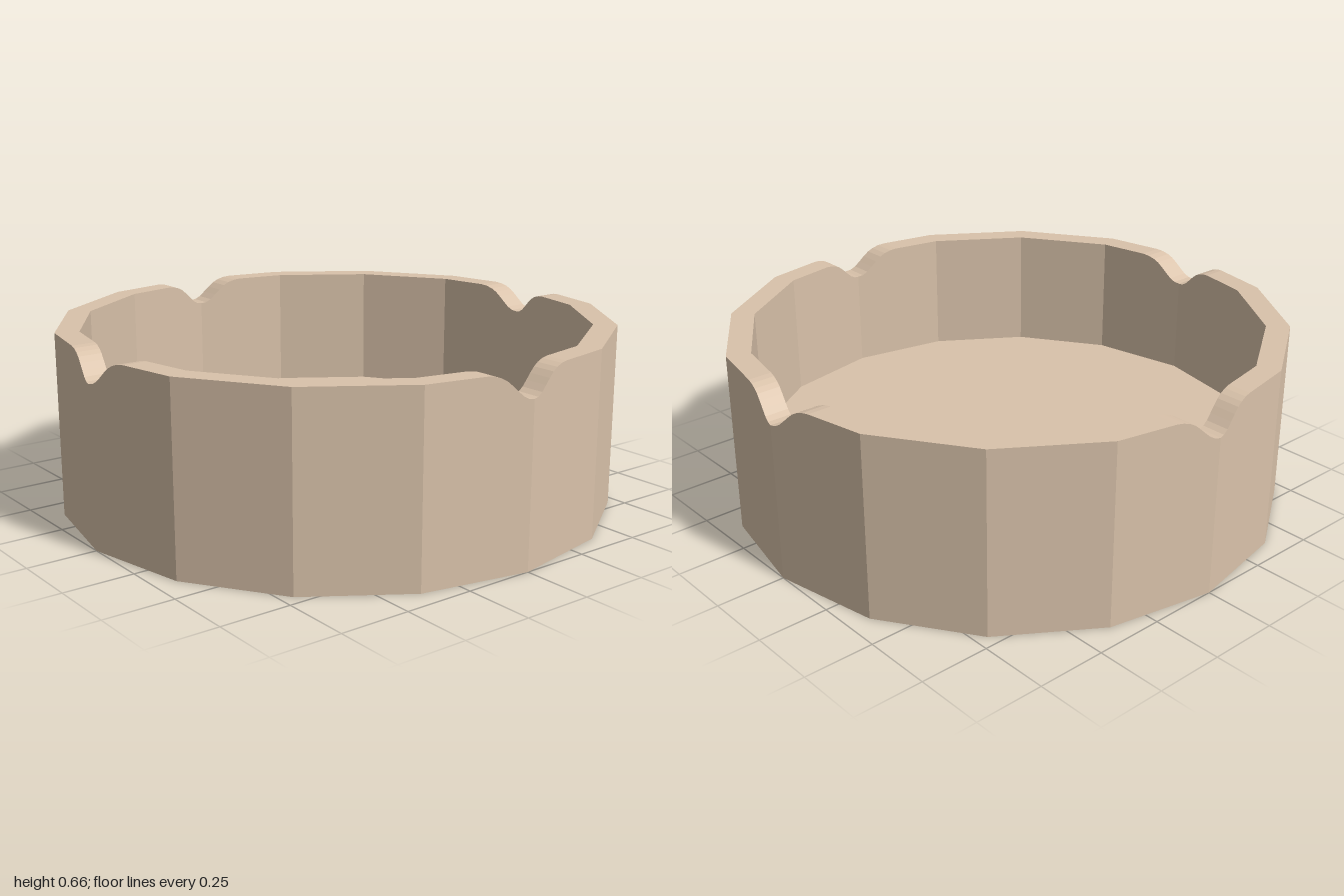
import * as THREE from 'three';

const HEIGHT = 0.66, INNER = 0.915, FLOOR = 0.21, HOLLOW = 0.02;

// Half outline of a rim notch: [sideways distance, rim height]
const NOTCH = [
  [0, 0.57], [0.02, 0.573], [0.04, 0.584], [0.06, 0.602], [0.08, 0.621],
  [0.1, 0.638], [0.12, 0.649], [0.145, 0.657], [0.17, HEIGHT],
];

// Stations round the 16-sided ring: outer x/z, inner x/z and rim height
function makeStations() {
  const slope = Math.tan(Math.PI / 16);
  const quarter = [];
  const notchPoint = (t, y) => {
    const drop = Math.abs(t) * slope;
    quarter.push({ o: [t, 1 - drop], i: [t, INNER - drop], y });
  };
  for (let k = NOTCH.length - 1; k > 0; k--) notchPoint(-NOTCH[k][0], NOTCH[k][1]);
  for (const [t, y] of NOTCH) notchPoint(t, y);
  for (let k = 1; k < 4; k++) {
    const s = Math.sin(k * Math.PI / 8), c = Math.cos(k * Math.PI / 8);
    quarter.push({ o: [s, c], i: [s * INNER, c * INNER], y: HEIGHT });
  }
  const stations = [];
  for (let q = 0; q < 4; q++) {
    const s = Math.sin(q * Math.PI / 2), c = Math.cos(q * Math.PI / 2);
    const turn = ([x, z]) => [x * c + z * s, z * c - x * s];
    for (const p of quarter) stations.push({ o: turn(p.o), i: turn(p.i), y: p.y });
  }
  return stations;
}

// Joins the cross-section of every station to the next one
function sweep(stations, section) {
  const rows = stations.map(section);
  const pos = [];
  const tri = (a, b, c) => {
    const same = (p, q) => p.every((v, n) => v === q[n]);
    if (!same(a, b) && !same(b, c) && !same(a, c)) pos.push(...a, ...b, ...c);
  };
  rows.forEach((row, n) => {
    const next = rows[(n + 1) % rows.length];
    for (let k = 0; k < row.length - 1; k++) {
      tri(row[k], next[k], next[k + 1]);
      tri(row[k], next[k + 1], row[k + 1]);
    }
  });
  const geometry = new THREE.BufferGeometry();
  geometry.setAttribute('position', new THREE.Float32BufferAttribute(pos, 3));
  geometry.computeVertexNormals();
  return geometry;
}

export function createModel() {
  const group = new THREE.Group();
  group.name = 'ashtray';
  const material = new THREE.MeshStandardMaterial({ color: 0xd9c2aa, flatShading: true });
  const stations = makeStations();
  const at = ([x, z], y) => [x, y, z];
  const add = (name, section) => {
    const mesh = new THREE.Mesh(sweep(stations, section), material);
    mesh.name = name;
    group.add(mesh);
  };

  // Sloped foot ring, outer wall, notched rim and inner wall
  add('notchedWall', (s) => [at(s.i, HOLLOW), at(s.o, 0), at(s.o, s.y), at(s.i, s.y), at(s.i, FLOOR)]);
  // Floor of the bowl
  add('bowlFloor', (s) => [at(s.i, FLOOR), [0, FLOOR, 0]]);
  // Slightly raised underside
  add('underside', (s) => [[0, HOLLOW, 0], at(s.i, HOLLOW)]);
  return group;
}
